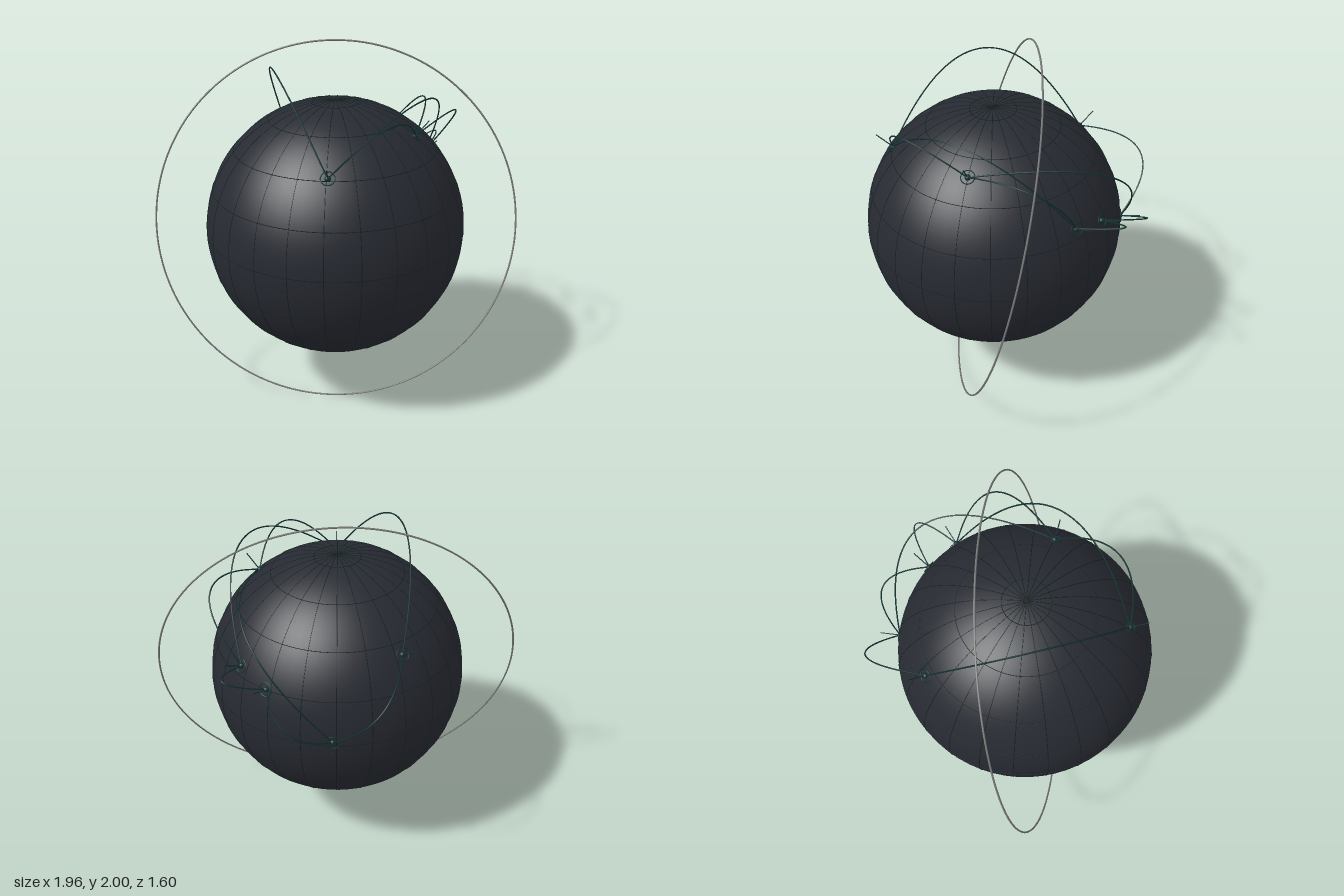
import * as THREE from 'three';

const R = 0.722;
const CENTER = new THREE.Vector3(0, 1, 0.07);
const Z = new THREE.Vector3(0, 0, 1);
const Y = new THREE.Vector3(0, 1, 0);

const paint = (color) => new THREE.MeshStandardMaterial({ color });

export function createModel() {
  const model = new THREE.Group();
  const globe = new THREE.Group();
  globe.name = 'globe';
  globe.position.copy(CENTER);
  model.add(globe);

  const body = paint(0x272a32);
  const gridLine = paint(0x12211f);
  const teal = paint(0x12302f);
  const ringGrey = paint(0x777777);

  const add = (name, geometry, material, parent = globe) => {
    const mesh = new THREE.Mesh(geometry, material);
    mesh.name = name;
    parent.add(mesh);
    return mesh;
  };

  add('sphere', new THREE.SphereGeometry(R, 64, 48), body);

  // Parallels every 20 degrees
  for (let lat = -80; lat <= 80; lat += 20) {
    const a = THREE.MathUtils.degToRad(lat);
    const line = add('parallel', new THREE.TorusGeometry(R * Math.cos(a), 0.002, 4, 96), gridLine);
    line.rotation.x = Math.PI / 2;
    line.position.y = R * Math.sin(a);
  }

  // Meridian circles every 15 degrees
  for (let i = 0; i < 12; i++) {
    const line = add('meridian', new THREE.TorusGeometry(R, 0.002, 4, 96), gridLine);
    line.rotation.y = (i * Math.PI) / 12;
  }

  // Tilted orbit around the globe
  const orbit = add('orbitRing', new THREE.TorusGeometry(1.023, 0.005, 6, 160), ringGrey);
  orbit.quaternion.setFromUnitVectors(Z, new THREE.Vector3(0.305, 0.237, 0.922).normalize());

  // Directions of the marked places on the globe
  const places = {
    a: [0.15, 0.48, 0.53],
    b: [0.45, 0.57, 0],
    c: [-0.45, 0.415, -0.39],
    d: [0.37, 0.3, -0.55],
    e: [0.2, 0.25, -0.65],
    f: [-0.17, 0.025, -0.71],
  };
  const at = {};
  for (const [key, dir] of Object.entries(places)) {
    const n = new THREE.Vector3(...dir).normalize();
    at[key] = n.clone().multiplyScalar(R);

    // Marker: dot, halo and upright pin
    const marker = new THREE.Group();
    marker.name = 'marker';
    marker.position.copy(at[key]);
    marker.quaternion.setFromUnitVectors(Y, n);
    globe.add(marker);
    add('dot', new THREE.SphereGeometry(0.016, 16, 12), teal, marker);
    const halo = add('halo', new THREE.TorusGeometry(0.036, 0.003, 6, 32), teal, marker);
    halo.rotation.x = Math.PI / 2;
    halo.position.y = 0.004;
    const pin = add('pin', new THREE.CylinderGeometry(0.003, 0.003, 0.115, 6), teal, marker);
    pin.position.y = 0.0575;
  }

  // Arcs between places: start, end, radius at the middle
  const arcs = [
    ['a', 'c', 0.96], ['a', 'd', 0.925], ['a', 'b', 0.89], ['b', 'f', 0.94],
    ['b', 'd', 0.93], ['e', 'f', 0.887], ['c', 'f', 0.92], ['d', 'e', 0.945],
  ];
  for (const [from, to, height] of arcs) {
    const mid = at[from].clone().add(at[to]).multiplyScalar(0.5);
    const control = mid.clone().setLength(2 * height - mid.length());
    const curve = new THREE.QuadraticBezierCurve3(at[from], control, at[to]);
    add('arc', new THREE.TubeGeometry(curve, 48, 0.004, 6), teal);
  }

  return model;
}
